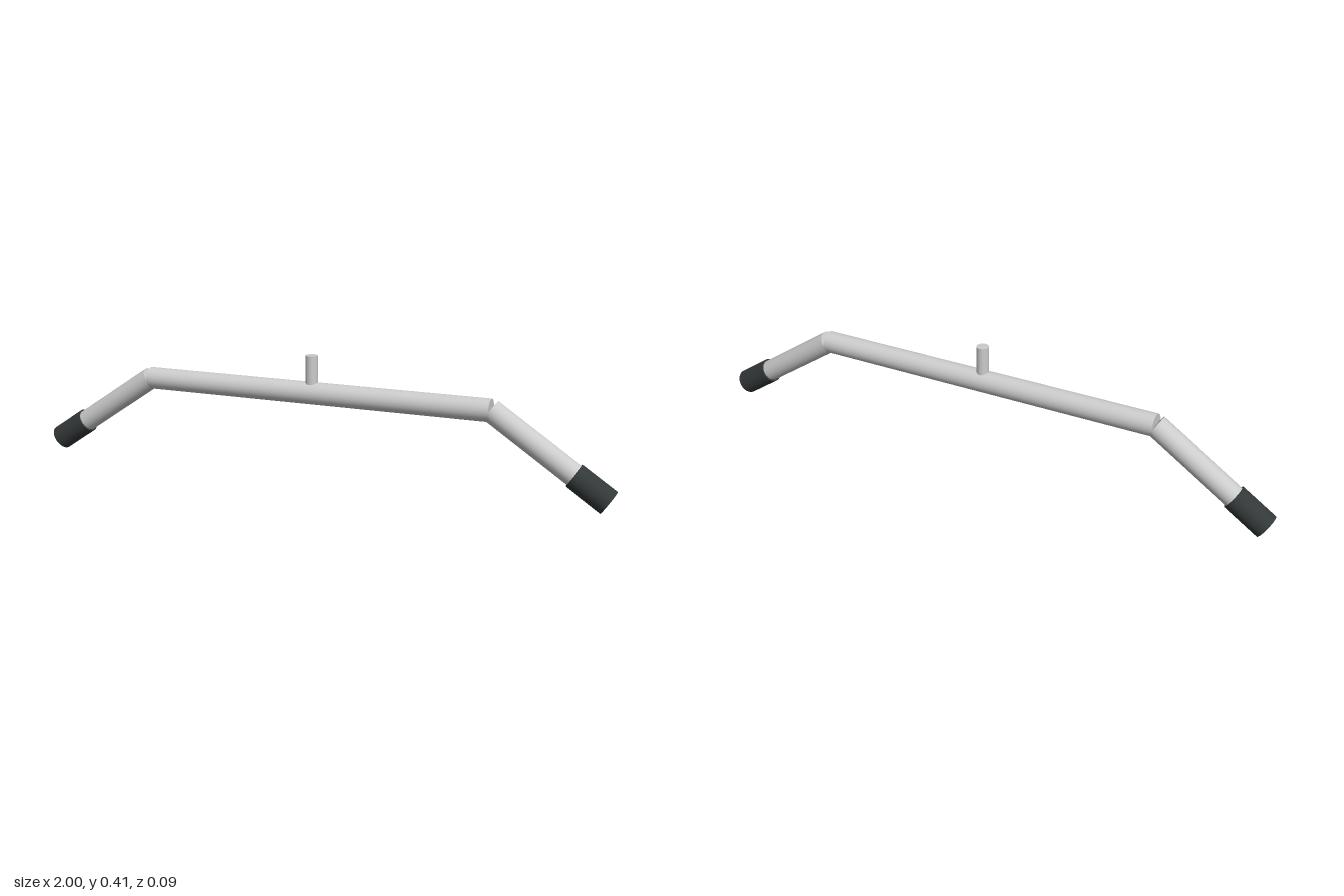
import * as THREE from 'three';

const steel = new THREE.MeshStandardMaterial({ color: 0xcccccc });
const rubber = new THREE.MeshStandardMaterial({ color: 0x333838 });

// Closed round rod between two points
function rod(name, from, to, radius, material) {
  const dir = to.clone().sub(from);
  const mesh = new THREE.Mesh(new THREE.CylinderGeometry(radius, radius, dir.length(), 32), material);
  mesh.name = name;
  mesh.position.copy(from).add(to).multiplyScalar(0.5);
  mesh.quaternion.setFromUnitVectors(new THREE.Vector3(0, 1, 0), dir.normalize());
  return mesh;
}

export function createModel() {
  const model = new THREE.Group();
  model.name = 'handlebar';
  const barY = 0.288, barRadius = 0.037, gripRadius = 0.0425, gripLength = 0.133;
  const v = (x, y) => new THREE.Vector3(x, y, 0);

  // Straight middle bar and the short post on top of it
  model.add(rod('crossbar', v(-0.6, barY), v(0.6, barY), barRadius, steel));
  model.add(rod('post', v(0, barY), v(0, 0.414), 0.0205, steel));

  // Sloping arms with dark grips, mirrored
  for (const [side, s] of [['left', 1], ['right', -1]]) {
    const bend = v(s * 0.6, barY);
    const tip = v(s * 0.9764, 0.0354);
    const back = bend.clone().sub(tip).normalize();
    const armEnd = tip.clone().addScaledVector(back, 0.02);
    const gripStart = tip.clone().addScaledVector(back, gripLength);
    model.add(rod(side + 'Arm', bend, armEnd, barRadius, steel));
    model.add(rod(side + 'Grip', gripStart, tip, gripRadius, rubber));
  }
  return model;
}
